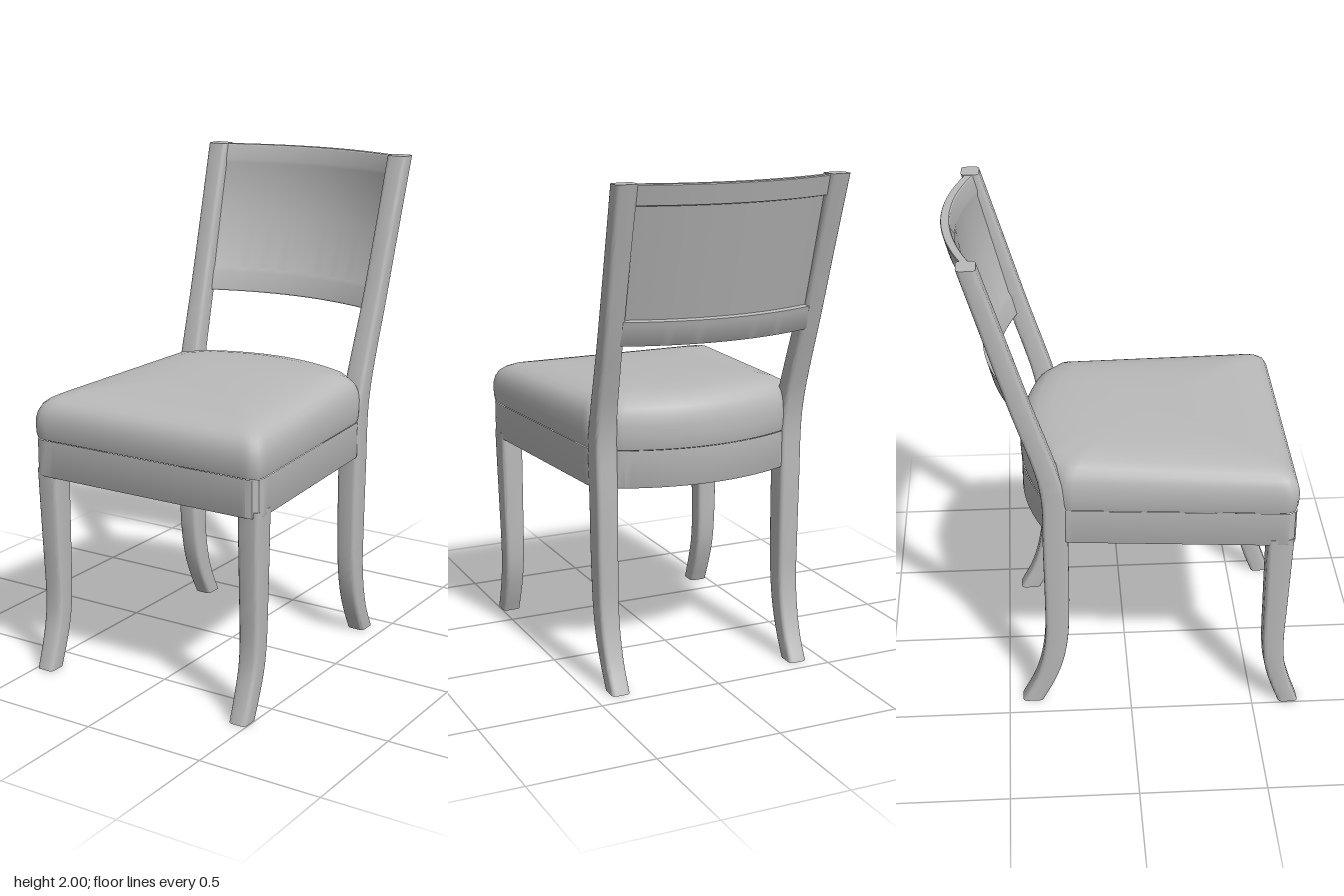
import * as THREE from 'three';
import { toCreasedNormals } from 'three/addons/utils/BufferGeometryUtils.js';

const CZ = 0.1; // centre of the seat plan

// Skin a stack of rings, each running from +x towards +z; optional flat caps.
function loft(rings, capBottom, capTop, crease = 0.7) {
  const pos = [];
  const tri = (...pts) => pts.forEach((p) => pos.push(p.x, p.y, p.z));
  const n = rings[0].length;
  for (let k = 0; k < rings.length - 1; k++) {
    for (let i = 0; i < n; i++) {
      const j = (i + 1) % n;
      const a = rings[k][i], b = rings[k][j], c = rings[k + 1][j], d = rings[k + 1][i];
      tri(a, d, b);
      tri(b, d, c);
    }
  }
  const cap = (ring, up) => {
    const m = ring.reduce((s, p) => s.add(p), new THREE.Vector3()).divideScalar(n);
    for (let i = 0; i < n; i++) {
      const a = ring[i], b = ring[(i + 1) % n];
      if (up) tri(m, b, a); else tri(m, a, b);
    }
  };
  if (capBottom) cap(rings[0], false);
  if (capTop) cap(rings[rings.length - 1], true);
  const geo = new THREE.BufferGeometry();
  geo.setAttribute('position', new THREE.Float32BufferAttribute(pos, 3));
  return toCreasedNormals(geo, crease);
}

// Seat plan in (x, z): tapered sides, rounded front corners, bowed back
function seatOutline() {
  const s = new THREE.Shape();
  s.moveTo(0.36, -0.34);
  s.lineTo(0.447, -0.26);
  s.lineTo(0.518, 0.59);
  s.quadraticCurveTo(0.522, 0.645, 0.47, 0.645);
  s.lineTo(-0.47, 0.645);
  s.quadraticCurveTo(-0.522, 0.645, -0.518, 0.59);
  s.lineTo(-0.447, -0.26);
  s.lineTo(-0.36, -0.34);
  s.quadraticCurveTo(0, -0.5, 0.36, -0.34);
  return s.getSpacedPoints(140).slice(0, -1);
}

// Rings made by scaling the plan; tilt lowers the front of the ring
function seatRings(profile) {
  const plan = seatOutline();
  return profile.map(([scale, y, tilt = 0]) => plan.map((p) => {
    const z = CZ + (p.y - CZ) * scale;
    return new THREE.Vector3(p.x * scale, y - tilt * (z - CZ), z);
  }));
}

// Leg of rounded-rectangle section; rows are [y, zFront, zBack, xInner, xOuter]
function legGeometry(rows, side, steps, r = 0.016) {
  const a = new THREE.CatmullRomCurve3(rows.map((q) => new THREE.Vector3(q[1], q[0], q[2])));
  const b = new THREE.CatmullRomCurve3(rows.map((q) => new THREE.Vector3(q[3], q[0], q[4])));
  const rings = [];
  for (let k = 0; k <= steps; k++) {
    const f = a.getPoint(k / steps), w = b.getPoint(k / steps);
    const corners = [[w.y - r, f.x - r], [w.x + r, f.x - r], [w.x + r, f.z + r], [w.y - r, f.z + r]];
    // width limits are stored in x (inner) and z (outer)
    corners[0][0] = corners[3][0] = w.z - r;
    const ring = [];
    corners.forEach(([x, z], c) => {
      for (let i = 0; i <= 3; i++) {
        const t = (c + i / 3) * Math.PI / 2;
        ring.push(new THREE.Vector3(side * (x + r * Math.cos(t)), f.y, z + r * Math.sin(t)));
      }
    });
    rings.push(side < 0 ? ring.reverse() : ring);
  }
  return loft(rings, true, true);
}

// Bowed, leaning back panel; rows are [y, front recess, rear recess]
function backGeometry(rows) {
  const n = 28, half = 0.4, thick = 0.035;
  return loft(rows.map(([y, front, rear]) => {
    const ring = [];
    const zc = -0.495 - (y - 1.39) * 0.262;
    for (let i = 0; i <= 2 * n + 1; i++) {
      const isFront = i <= n;
      const t = isFront ? i / n : (2 * n + 1 - i) / n;
      const x = half * (1 - 2 * t);
      const z = zc + 0.075 * (x / 0.38) ** 2;
      ring.push(new THREE.Vector3(x, y, isFront ? z - front : z - thick + rear));
    }
    return ring;
  }), false, false, 0.5);
}

export function createModel() {
  const model = new THREE.Group();
  const grey = new THREE.MeshStandardMaterial({ color: 0xbababa });
  grey.name = 'plain grey';
  const add = (name, geo) => {
    const mesh = new THREE.Mesh(geo, grey);
    mesh.name = name;
    model.add(mesh);
  };

  // Padded cushion with a soft dome
  add('cushion', loft(seatRings([
    [0.975, 0.952], [0.992, 0.956], [1, 0.975], [1.004, 1.01], [1.002, 1.045, 0.01],
    [0.99, 1.078, 0.02], [0.965, 1.105, 0.025], [0.925, 1.125, 0.03], [0.86, 1.141, 0.032],
    [0.74, 1.153, 0.034], [0.55, 1.16, 0.034], [0.3, 1.164, 0.034], [0.1, 1.165, 0.034],
  ]), true, true, 0.8));

  // Hollow apron with the underside board
  add('apron', loft(seatRings([
    [0.93, 0.94], [0.93, 0.805], [0.99, 0.805], [0.995, 0.81], [0.995, 0.955],
  ]), true, false, 0.5));

  const frontRows = [
    [0, 0.69, 0.61, 0.422, 0.497], [0.1, 0.655, 0.572, 0.422, 0.499], [0.2, 0.628, 0.545, 0.422, 0.502],
    [0.3, 0.619, 0.534, 0.422, 0.504], [0.5, 0.624, 0.531, 0.422, 0.508], [0.66, 0.629, 0.53, 0.422, 0.511],
    [0.83, 0.634, 0.53, 0.422, 0.514],
  ];
  // Rear legs run on into the leaning back posts
  const rearRows = [
    [0, -0.36, -0.445, 0.355, 0.43], [0.1, -0.31, -0.395, 0.355, 0.432], [0.2, -0.275, -0.364, 0.355, 0.435],
    [0.32, -0.254, -0.346, 0.355, 0.437], [0.5, -0.246, -0.343, 0.355, 0.44], [0.75, -0.245, -0.345, 0.355, 0.443],
    [0.98, -0.246, -0.345, 0.358, 0.447], [1.1, -0.276, -0.362, 0.363, 0.45], [1.25, -0.322, -0.405, 0.37, 0.453],
    [1.4, -0.37, -0.452, 0.377, 0.457], [1.7, -0.46, -0.537, 0.385, 0.466], [2, -0.55, -0.622, 0.39, 0.476],
  ];
  for (const [side, label] of [[1, 'left'], [-1, 'right']]) {
    add(label + 'FrontLeg', legGeometry(frontRows, side, 28));
    add(label + 'RearLegAndPost', legGeometry(rearRows, side, 60));
  }

  // Back panel with thicker rails along its top and bottom
  add('backPanel', backGeometry([
    [1.385, 0.0175, 0.0175], [1.385, 0.003, 0.003], [1.39, 0, 0], [1.465, 0, 0], [1.48, 0.004, 0],
    [1.485, 0.006, 0.022], [1.7, 0.006, 0.022], [1.915, 0.006, 0.022], [1.92, 0.004, 0],
    [1.935, 0, 0], [1.994, 0, 0], [1.998, 0.003, 0.003], [1.998, 0.0175, 0.0175],
  ]));
  return model;
}
